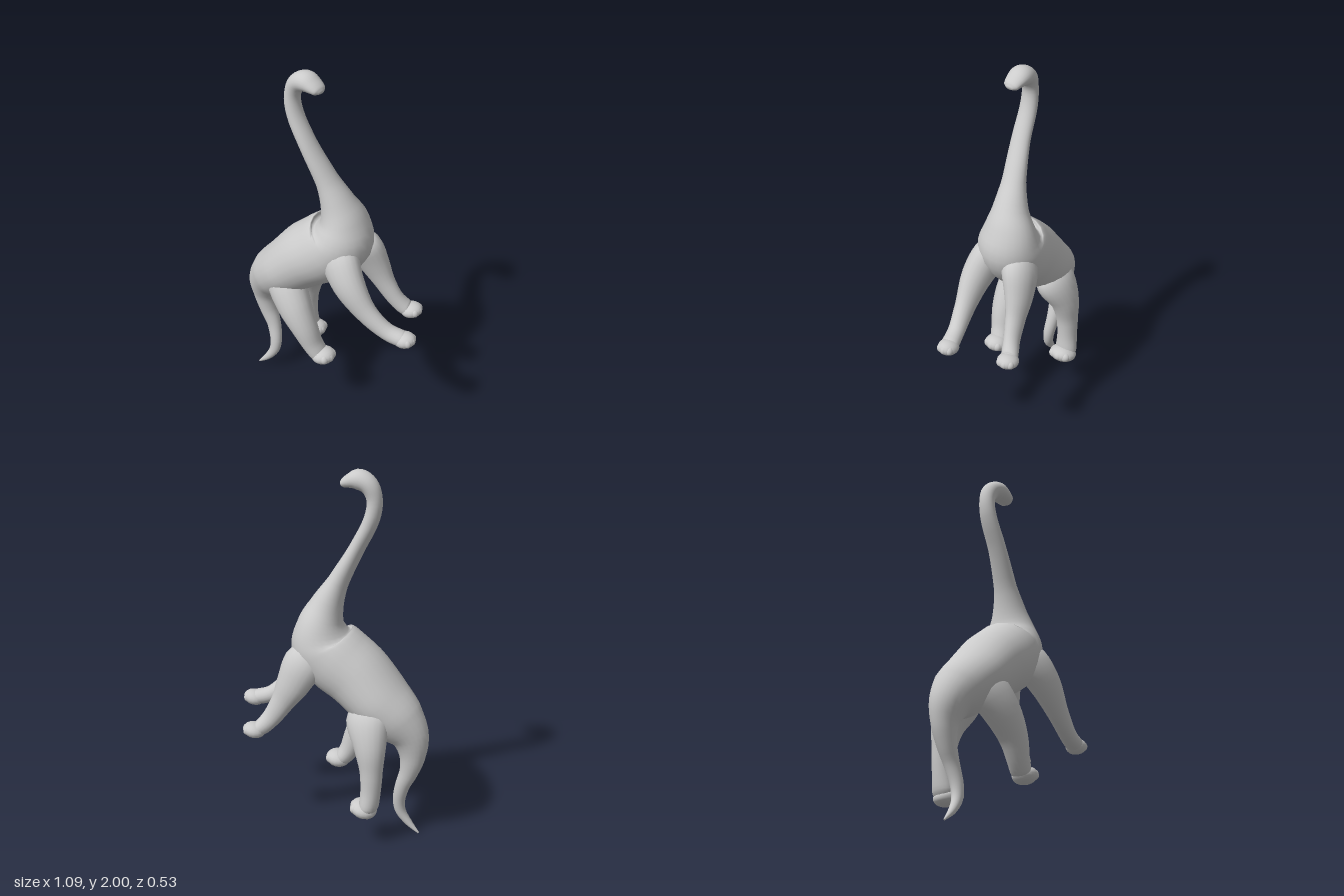
import * as THREE from 'three';

const material = new THREE.MeshStandardMaterial({ color: 0xcccccc });

// Smooth skin through stations [x, y, z, in-plane radius, sideways radius]
function loft(name, stations, sides = 20, stepsPer = 4) {
  const path = new THREE.CatmullRomCurve3(stations.map(s => new THREE.Vector3(s[0], s[1], s[2])));
  const radii = new THREE.CatmullRomCurve3(stations.map(s => new THREE.Vector3(s[3], s[4], 0)));
  const rings = (stations.length - 1) * stepsPer;
  const pos = [], index = [];
  for (let i = 0; i <= rings; i++) {
    const t = i / rings;
    const c = path.getPoint(t), r = radii.getPoint(t), tan = path.getTangent(t);
    const side = new THREE.Vector3(0, 0, 1).addScaledVector(tan, -tan.z).normalize();
    const up = side.clone().cross(tan);
    for (let j = 0; j < sides; j++) {
      const a = (j / sides) * Math.PI * 2;
      const p = c.clone().addScaledVector(up, Math.cos(a) * r.x).addScaledVector(side, Math.sin(a) * r.y);
      pos.push(p.x, p.y, p.z);
    }
  }
  for (let i = 0; i < rings; i++) {
    for (let j = 0; j < sides; j++) {
      const k = (j + 1) % sides, a = i * sides, b = a + sides;
      index.push(a + j, a + k, b + j, a + k, b + k, b + j);
    }
  }
  // Close both ends
  const first = stations[0], last = stations[stations.length - 1], n = pos.length / 3;
  pos.push(first[0], first[1], first[2], last[0], last[1], last[2]);
  for (let j = 0; j < sides; j++) {
    const k = (j + 1) % sides, e = rings * sides;
    index.push(n, k, j, n + 1, e + j, e + k);
  }
  const geo = new THREE.BufferGeometry();
  geo.setAttribute('position', new THREE.Float32BufferAttribute(pos, 3));
  geo.setIndex(index);
  geo.computeVertexNormals();
  const mesh = new THREE.Mesh(geo, material);
  mesh.name = name;
  return mesh;
}

function ellipsoid(name, p, s) {
  const mesh = new THREE.Mesh(new THREE.SphereGeometry(1, 18, 12), material);
  mesh.name = name;
  mesh.position.set(...p);
  mesh.scale.set(...s);
  return mesh;
}

// Padded foot with three shallow toes, pointing along its own +x
function makeFoot(name, center, size, tilt, yaw) {
  const foot = new THREE.Group();
  foot.name = name;
  foot.add(ellipsoid('footPad', [0, 0, 0], size));
  for (const k of [-1, 0, 1]) {
    foot.add(ellipsoid('toe', [size[0] * (0.66 - 0.16 * Math.abs(k)), -size[1] * 0.05, k * size[2] * 0.48],
      [size[0] * 0.36, size[1] * 0.6, size[2] * 0.38]));
  }
  foot.position.set(...center);
  foot.rotation.set(0, yaw, tilt);
  return foot;
}

export function createModel() {
  const model = new THREE.Group();
  model.name = 'longNeckedDinosaur';

  // Tail, trunk, neck and head in one continuous skin
  model.add(loft('body', [
    [-0.495, 0.004, 0.125, 0.005, 0.005],
    [-0.44, 0.06, 0.115, 0.019, 0.02],
    [-0.397, 0.13, 0.1, 0.029, 0.027],
    [-0.39, 0.2, 0.09, 0.034, 0.032],
    [-0.413, 0.3, 0.078, 0.04, 0.038],
    [-0.45, 0.4, 0.078, 0.052, 0.05],
    [-0.465, 0.5, 0.08, 0.073, 0.066],
    [-0.445, 0.6, 0.085, 0.105, 0.1],
    [-0.375, 0.69, 0.08, 0.14, 0.152],
    [-0.27, 0.79, 0.072, 0.158, 0.188],
    [-0.145, 0.91, 0.06, 0.178, 0.19],
    [-0.04, 0.99, 0.038, 0.187, 0.187],
    [0.035, 1.07, 0.02, 0.172, 0.175],
    [0.045, 1.165, 0.016, 0.127, 0.145],
    [0.02, 1.27, 0.03, 0.09, 0.098],
    [-0.035, 1.405, 0.053, 0.055, 0.066],
    [-0.125, 1.59, 0.085, 0.04, 0.054],
    [-0.2, 1.75, 0.096, 0.04, 0.048],
    [-0.213, 1.85, 0.097, 0.04, 0.044],
    [-0.185, 1.92, 0.092, 0.047, 0.052],
    [-0.132, 1.946, 0.088, 0.052, 0.06],
    [-0.085, 1.935, 0.087, 0.038, 0.054],
    [-0.05, 1.92, 0.086, 0.024, 0.042],
    [-0.036, 1.914, 0.086, 0.009, 0.018],
  ], 24));

  // Front legs, swung forward as the animal rears
  model.add(loft('leftFrontLeg', [
    [0.03, 1.07, 0.05, 0.05, 0.05],
    [0.095, 0.99, 0.105, 0.11, 0.088],
    [0.175, 0.885, 0.132, 0.094, 0.077],
    [0.28, 0.757, 0.122, 0.064, 0.052],
    [0.39, 0.668, 0.09, 0.046, 0.045],
    [0.465, 0.645, 0.065, 0.042, 0.048],
    [0.5, 0.643, 0.055, 0.03, 0.034],
  ]));
  model.add(makeFoot('leftFrontFoot', [0.484, 0.64, 0.058], [0.06, 0.042, 0.055], 0.2, 0.15));

  model.add(loft('rightFrontLeg', [
    [0.05, 1.06, -0.03, 0.05, 0.05],
    [0.09, 0.98, -0.09, 0.11, 0.085],
    [0.14, 0.86, -0.128, 0.09, 0.068],
    [0.19, 0.76, -0.148, 0.064, 0.05],
    [0.25, 0.66, -0.172, 0.05, 0.042],
    [0.3, 0.605, -0.2, 0.043, 0.046],
    [0.33, 0.595, -0.212, 0.028, 0.034],
  ]));
  model.add(makeFoot('rightFrontFoot', [0.328, 0.593, -0.213], [0.061, 0.041, 0.058], 0.2, 0.25));

  // Hind legs
  model.add(loft('leftHindLeg', [
    [-0.29, 0.8, 0.08, 0.05, 0.05],
    [-0.25, 0.725, 0.14, 0.115, 0.1],
    [-0.17, 0.61, 0.172, 0.1, 0.09],
    [-0.1, 0.5, 0.175, 0.074, 0.074],
    [-0.055, 0.4, 0.163, 0.055, 0.06],
    [-0.022, 0.345, 0.15, 0.046, 0.056],
    [-0.005, 0.325, 0.145, 0.027, 0.038],
  ]));
  model.add(makeFoot('leftHindFoot', [0.008, 0.336, 0.145], [0.066, 0.046, 0.066], 0.2, 0));

  model.add(loft('rightHindLeg', [
    [-0.24, 0.8, 0.02, 0.05, 0.05],
    [-0.26, 0.71, -0.045, 0.12, 0.088],
    [-0.295, 0.58, -0.09, 0.088, 0.075],
    [-0.31, 0.45, -0.1, 0.062, 0.06],
    [-0.31, 0.33, -0.103, 0.054, 0.056],
    [-0.302, 0.245, -0.105, 0.051, 0.063],
    [-0.295, 0.2, -0.105, 0.032, 0.048],
  ]));
  model.add(makeFoot('rightHindFoot', [-0.272, 0.218, -0.106], [0.073, 0.047, 0.076], 0.3, 0.1));

  return model;
}
